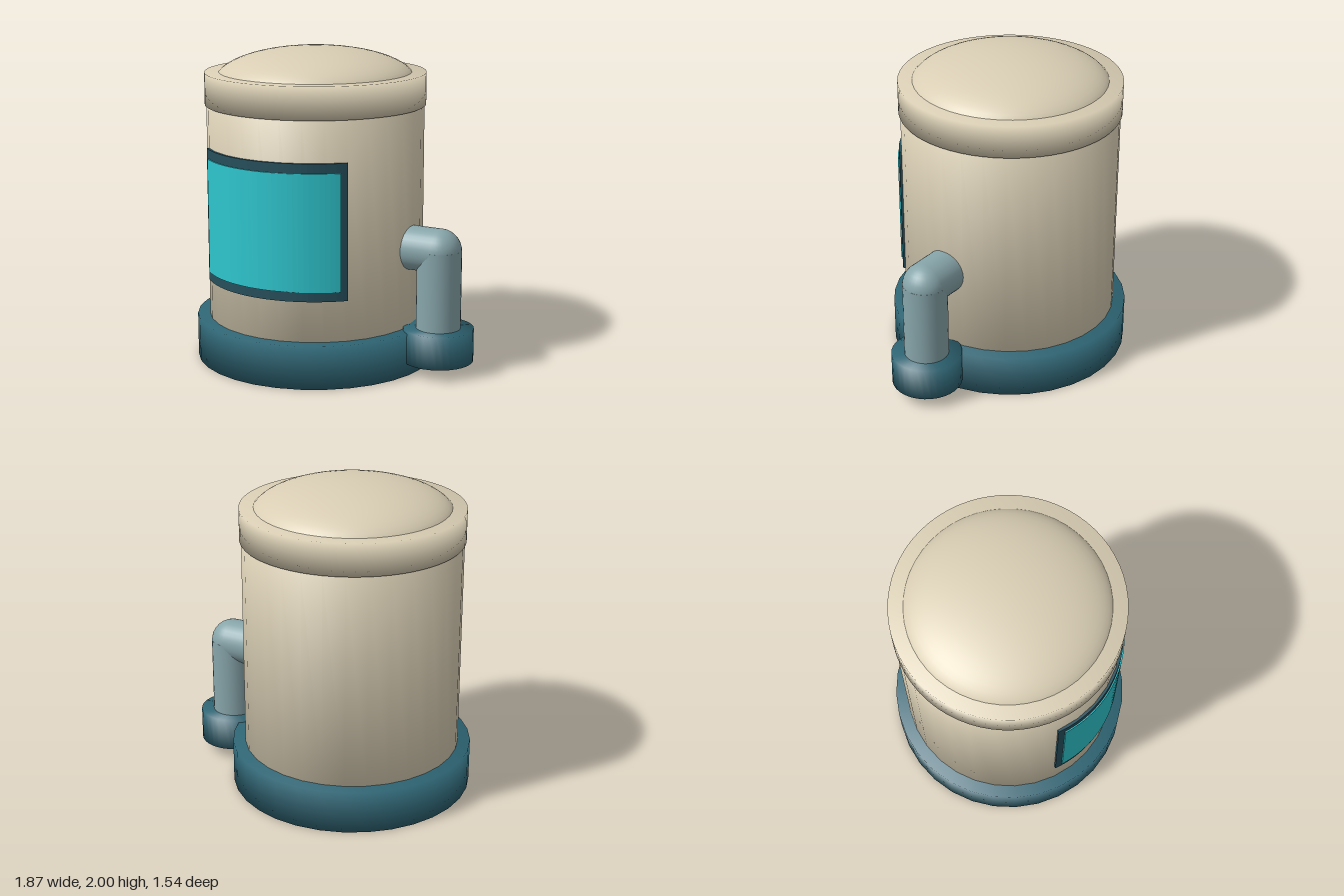
import * as THREE from 'three';

export function createModel() {
  const model = new THREE.Group();
  const mat = (name, color) => new THREE.MeshStandardMaterial({ name, color });
  const cream = mat('cream', 0xd9ceb4);
  const teal = mat('dark teal', 0x2e6473);
  const frameTeal = mat('frame teal', 0x264f5c);
  const cyan = mat('bright cyan', 0x2ec6ce);
  const pipeGrey = mat('pipe grey', 0x87a5aa);

  const add = (name, geometry, material, x = 0, y = 0, z = 0) => {
    const mesh = new THREE.Mesh(geometry, material);
    mesh.name = name;
    mesh.position.set(x, y, z);
    model.add(mesh);
    return mesh;
  };

  // Closed drum whose normals blend softly over its rims
  const drum = (radius, height, sides = 32) => new THREE.LatheGeometry([
    new THREE.Vector2(0, 0), new THREE.Vector2(radius, 0),
    new THREE.Vector2(radius, height), new THREE.Vector2(0, height),
  ], sides);

  // Curved plate wrapped around the front of the tank
  const curvedPlate = (inner, outer, halfWidth, height) => {
    const a = Math.asin(halfWidth / outer);
    const mid = -Math.PI / 2;
    const shape = new THREE.Shape();
    shape.absarc(0, 0, outer, mid - a, mid + a, false);
    shape.absarc(0, 0, inner, mid + a, mid - a, true);
    const geometry = new THREE.ExtrudeGeometry(shape, { depth: height, bevelEnabled: false, curveSegments: 16 });
    return geometry.rotateX(-Math.PI / 2);
  };

  // Tank
  const cx = -0.168;
  add('base', drum(0.77, 0.275), teal, cx, 0);
  add('tankBody', drum(0.69, 1.42), cream, cx, 0.25);
  add('lidRim', drum(0.7, 0.203, 64), cream, cx, 1.642);

  // Shallow dome: the top of a flattened ball
  const dome = new THREE.SphereGeometry(1, 48, 12, 0, Math.PI * 2, 0, 1.31);
  dome.scale(0.632, 0.21, 0.632);
  add('lidDome', dome, cream, cx, 1.79);

  // Front display
  add('displayFrame', curvedPlate(0.67, 0.704, 0.502, 0.85), frameTeal, cx, 0.535);
  add('displayScreen', curvedPlate(0.703, 0.712, 0.475, 0.73), cyan, cx, 0.595);

  // Side pipe with a rounded elbow
  const px = 0.71;
  add('pipeFoot', drum(0.222, 0.21), teal, px, 0.08);
  add('uprightPipe', new THREE.CylinderGeometry(0.14, 0.14, 0.55, 32), pipeGrey, px, 0.515);
  add('pipeElbow', new THREE.SphereGeometry(0.14, 32, 16), pipeGrey, px, 0.782);
  const inlet = new THREE.CylinderGeometry(0.14, 0.14, 0.28, 32).rotateZ(Math.PI / 2);
  add('inletPipe', inlet, pipeGrey, px - 0.14, 0.782);

  return model;
}
